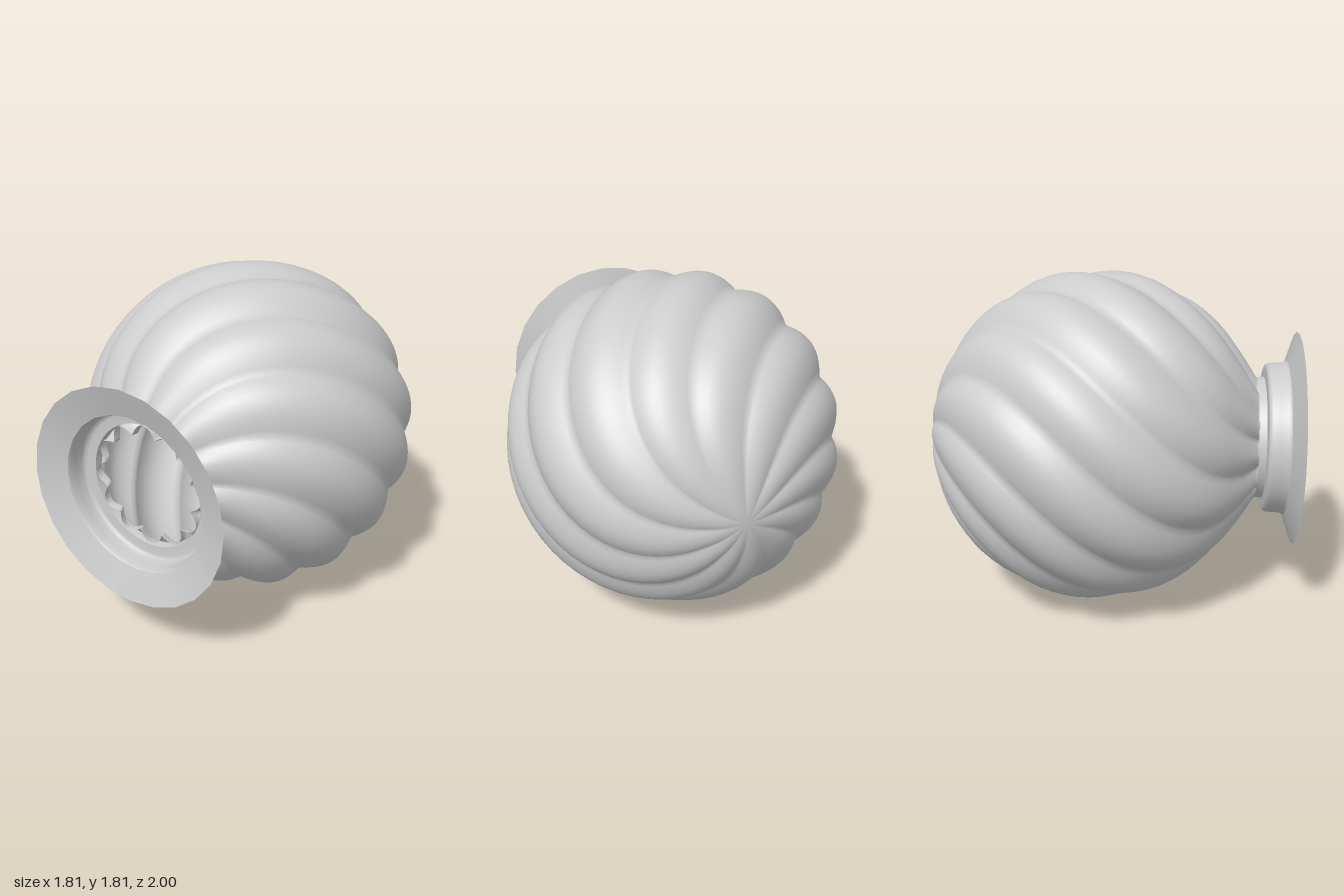
import * as THREE from 'three';

const FLUTES = 12;
const COLUMNS = FLUTES * 12;
const TWIST = 1.05; // radians per unit of depth
const RADIUS = 0.91;
const CENTRE_Z = -0.09;
const NECK_Z = 0.79;

const material = new THREE.MeshStandardMaterial({ color: 0xcccccc, side: THREE.DoubleSide });

// Outline of the globe from the back pole to the neck, as (radius, z)
function globeProfile() {
  const points = [];
  const end = Math.acos(-0.824);
  const steps = 36;
  for (let i = 0; i <= steps; i++) {
    const a = (end * i) / steps;
    points.push([RADIUS * Math.sin(a), CENTRE_Z - RADIUS * Math.cos(a)]);
  }
  points.push([0.455, 0.705], [0.395, 0.745], [0.35, 0.775], [0.33, NECK_Z], [0.33, 0.825]);
  return points;
}

// Thin globe with round lobes and sharp grooves that wind about the z axis
function globeGeometry() {
  const profile = globeProfile();
  const positions = [];
  const index = [];
  profile.forEach(([r, z], row) => {
    const depth = (r < 0.45 && z > 0 ? 0.058 : 0.047) * Math.min(1, r / 0.25);
    for (let c = 0; c < COLUMNS; c++) {
      const a = (c / COLUMNS) * Math.PI * 2;
      const lobe = Math.abs(Math.cos((a * FLUTES) / 2));
      const radius = r - depth * (1 - lobe);
      const turned = a - TWIST * (NECK_Z - z);
      positions.push(radius * Math.cos(turned), radius * Math.sin(turned), z);
      if (row === 0) continue;
      const next = (c + 1) % COLUMNS;
      const p = (row - 1) * COLUMNS;
      const q = row * COLUMNS;
      if (row > 1) index.push(p + c, p + next, q + next);
      index.push(p + c, q + next, q + c);
    }
  });
  const geometry = new THREE.BufferGeometry();
  geometry.setAttribute('position', new THREE.Float32BufferAttribute(positions, 3));
  geometry.setIndex(index);
  geometry.computeVertexNormals();
  // The pole vertices share one direction
  const normal = geometry.attributes.normal;
  for (let c = 0; c < COLUMNS; c++) normal.setXYZ(c, 0, 0, -1);
  return geometry;
}

// Turned part about the z axis from (radius, z) pairs
function turned(name, pairs, segments) {
  const geometry = new THREE.LatheGeometry(pairs.map(([r, z]) => new THREE.Vector2(r, z)), segments);
  geometry.rotateX(Math.PI / 2);
  const mesh = new THREE.Mesh(geometry, material);
  mesh.name = name;
  return mesh;
}

export function createModel() {
  const group = new THREE.Group();
  group.name = 'flutedGlobe';

  const globe = new THREE.Mesh(globeGeometry(), material);
  globe.name = 'globe';
  group.add(globe);

  // Short neck and rounded collar
  group.add(turned('neck', [[0.33, 0.785], [0.335, 0.828]], 48));
  group.add(turned('collar', [
    [0.335, 0.826], [0.385, 0.828], [0.402, 0.834], [0.411, 0.85],
    [0.413, 0.89], [0.415, 0.93], [0.425, 0.945],
  ], 48));

  // Wide flared flange at the opening
  group.add(turned('flange', [[0.422, 0.944], [0.585, 1]], 24));

  group.position.y = RADIUS;
  const model = new THREE.Group();
  model.add(group);
  return model;
}
